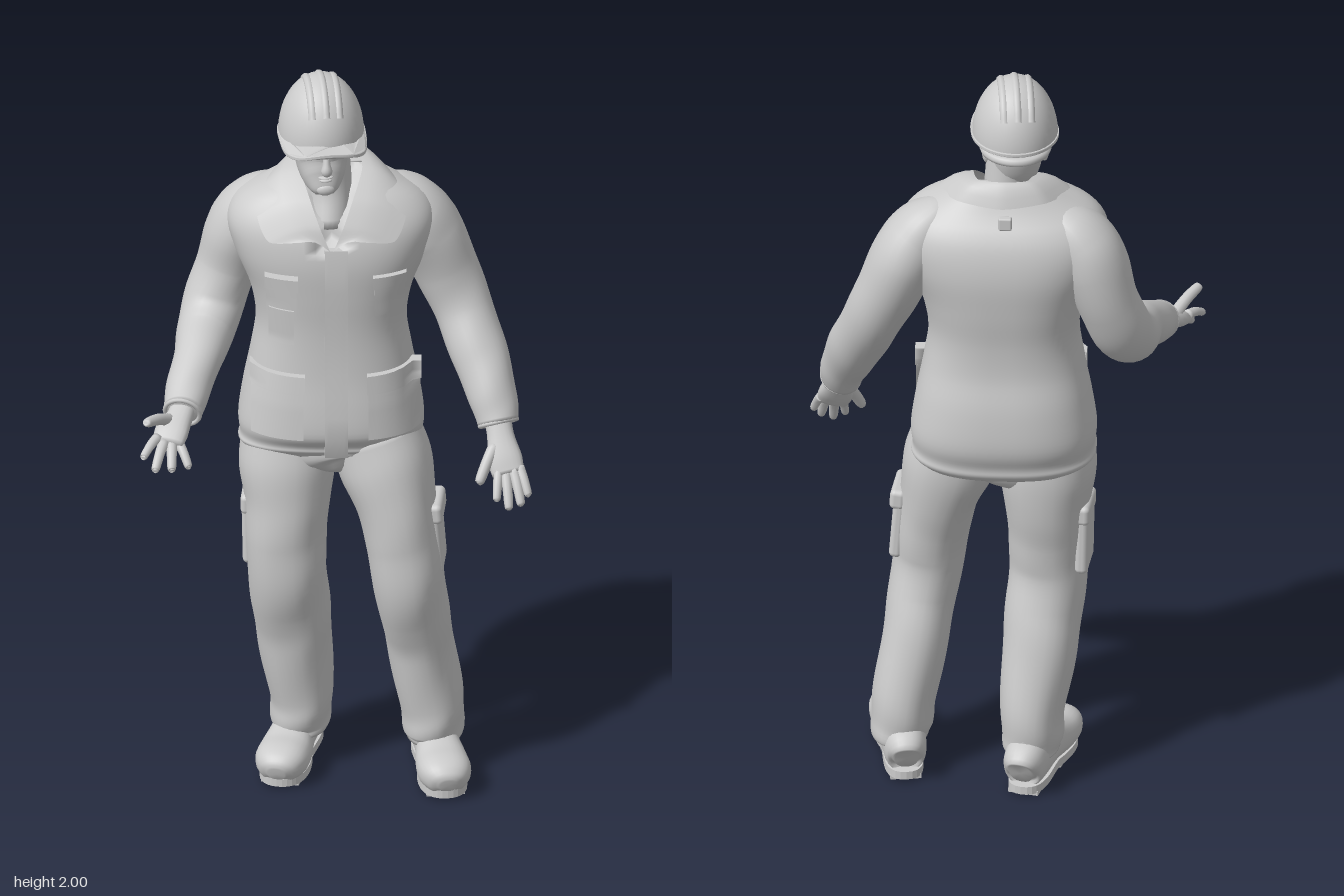
import * as THREE from 'three';
import { RoundedBoxGeometry } from 'three/addons/geometries/RoundedBoxGeometry.js';

const grey = new THREE.MeshStandardMaterial({ color: 0xcccccc });
const thin = new THREE.MeshStandardMaterial({ color: 0xcccccc, side: THREE.DoubleSide });
const V = (x, y, z) => new THREE.Vector3(x, y, z);

function add(parent, name, geometry, material = grey) {
  const mesh = new THREE.Mesh(geometry, material);
  mesh.name = name;
  parent.add(mesh);
  return mesh;
}

function group(parent, name, x = 0, y = 0, z = 0, yaw = 0) {
  const g = new THREE.Group();
  g.name = name;
  g.position.set(x, y, z);
  g.rotation.y = yaw;
  parent.add(g);
  return g;
}

// Closed smooth body through cross-sections [x, y, z, halfWidth, halfDepth]
function sweep(rows, { sides = 28, steps = 5, power = 2, fold = 0, warp = null } = {}) {
  const path = new THREE.CatmullRomCurve3(rows.map(r => V(r[0], r[1], r[2])), false, 'catmullrom');
  const size = new THREE.CatmullRomCurve3(rows.map(r => V(r[3], r[4] ?? r[3], 0)), false, 'catmullrom');
  const n = (rows.length - 1) * steps, pos = [], idx = [];
  const bend = c => Math.sign(c) * Math.abs(c) ** (2 / power);
  for (let k = -1; k <= n + 1; k++) {
    const t = Math.min(Math.max(k / n, 0), 1);
    const c = path.getPoint(t), T = path.getTangent(t), s = size.getPoint(t);
    const U = V(1, 0, 0).addScaledVector(T, -T.x).normalize();
    const W = U.clone().cross(T);
    const cap = k < 0 || k > n ? 0 : 1;
    for (let j = 0; j < sides; j++) {
      const a = j / sides * Math.PI * 2;
      const f = cap * (1 + fold * t * Math.sin(t * 30 + 3 * t * t + 2.5 * Math.sin(a + 1)));
      const p = c.clone().addScaledVector(U, f * s.x * bend(Math.cos(a))).addScaledVector(W, f * s.y * bend(Math.sin(a)));
      if (warp) warp(p);
      pos.push(p.x, p.y, p.z);
    }
  }
  for (let i = 0; i < n + 2; i++) for (let j = 0; j < sides; j++) {
    const a = i * sides + j, b = i * sides + (j + 1) % sides;
    idx.push(a, a + sides, b, a + sides, b + sides, b);
  }
  const g = new THREE.BufferGeometry();
  g.setAttribute('position', new THREE.Float32BufferAttribute(pos, 3));
  g.setIndex(idx);
  g.computeVertexNormals();
  return g;
}

// Jacket cross-sections, also used to lay pockets on its surface
const coatPower = 2.5;
const coat = [
  [0, 0.922, 0, 0.222, 0.138], [0, 0.942, 0, 0.24, 0.154], [0, 0.962, 0, 0.236, 0.157],
  [0, 1.01, 0, 0.24, 0.176], [0, 1.1, 0, 0.227, 0.172], [0, 1.2, 0.004, 0.208, 0.158],
  [0, 1.3, 0.003, 0.195, 0.157], [0, 1.4, 0, 0.212, 0.167], [0, 1.5, -0.002, 0.252, 0.173],
  [0, 1.58, -0.004, 0.27, 0.16], [0, 1.64, -0.006, 0.24, 0.13], [0, 1.69, -0.01, 0.155, 0.09],
  [0, 1.72, -0.01, 0.085, 0.065]];

function coatFront(x, y) {
  const i = Math.max(1, coat.findIndex(r => r[1] >= y));
  const p = coat[i - 1], q = coat[i], t = (y - p[1]) / (q[1] - p[1]);
  const [z, a, b] = [2, 3, 4].map(k => p[k] + (q[k] - p[k]) * t);
  const u = Math.min(Math.abs(x / a), 0.97);
  return z + b * (1 - u ** coatPower) ** (1 / coatPower);
}

// Lower the hem at the back and open a V at the neck
function shapeCoat(p) {
  if (p.y < 1.02) p.y += p.z * 0.13 * Math.min(1, (1.02 - p.y) * 12);
  const open = 1 - Math.abs(p.x) / Math.max(0.001, (p.y - 1.54) * 0.7);
  if (p.z > 0 && p.y > 1.54 && open > 0) p.z -= 0.07 * Math.min(1, open * 2);
}

// Box draped over the jacket front
function drape(x, y, w, h, depth) {
  const g = new THREE.BoxGeometry(w, h, 1, 6, 10, 1), p = g.attributes.position;
  for (let i = 0; i < p.count; i++) {
    const px = p.getX(i) + x, py = p.getY(i) + y;
    p.setXYZ(i, px, py, coatFront(px, py) + (p.getZ(i) > 0 ? depth : -0.015));
  }
  g.computeVertexNormals();
  return g;
}

function buildJacket(root) {
  const g = group(root, 'jacket', -0.037, 0, -0.16, 0.09);
  add(g, 'jacketBody', sweep(coat, { sides: 64, power: coatPower, warp: shapeCoat }));
  add(g, 'placket', drape(0.012, 1.25, 0.06, 0.6, 0.005));
  for (const [side, x, bulge] of [['right', -0.13, 0.01], ['left', 0.15, 0]]) {
    add(g, side + 'ChestPocket', drape(x, 1.415, 0.078, 0.11, 0.014 + bulge));
    add(g, side + 'ChestFlap', drape(x, 1.46, 0.086, 0.035, 0.02 + bulge));
    add(g, side + 'WaistPocket', drape(x * 1.08, 1.075, 0.135, 0.13, 0.01));
    add(g, side + 'WaistFlap', drape(x * 1.08, 1.165, 0.142, 0.05, 0.02));
  }
  add(g, 'pocketDevice', drape(-0.13, 1.335, 0.065, 0.1, 0.03));
  add(g, 'collarTab', new RoundedBoxGeometry(0.035, 0.035, 0.02, 2, 0.005)).position.set(-0.01, 1.655, -0.128);

  // Folded collar: inner neck edge and outer edge, front to back
  const half = [
    [[0.004, 1.55, 0.17], [0.08, 1.578, 0.172]], [[0.03, 1.61, 0.155], [0.162, 1.57, 0.152]],
    [[0.055, 1.67, 0.112], [0.192, 1.622, 0.105]], [[0.08, 1.725, 0.03], [0.178, 1.675, 0.025]],
    [[0.062, 1.745, -0.06], [0.115, 1.695, -0.085]], [[0, 1.75, -0.08], [0, 1.69, -0.118]]];
  const mirrored = half.slice(0, -1).reverse().map(r => r.map(([x, y, z]) => [-x, y, z]));
  const edge = k => new THREE.CatmullRomCurve3([...half, ...mirrored].map(r => V(...r[k])), false, 'catmullrom', 0.35);
  const inner = edge(0), outer = edge(1), pos = [], idx = [], n = 60, m = 4;
  for (let i = 0; i <= n; i++) for (let j = 0; j <= m; j++) {
    const p = inner.getPoint(i / n).lerp(outer.getPoint(i / n), j / m);
    p.y += 0.014 * Math.sin(j / m * Math.PI);
    pos.push(p.x, p.y, p.z);
    const a = i * (m + 1) + j;
    if (i < n && j < m) idx.push(a, a + 1, a + m + 1, a + 1, a + m + 2, a + m + 1);
  }
  const c = new THREE.BufferGeometry();
  c.setAttribute('position', new THREE.Float32BufferAttribute(pos, 3));
  c.setIndex(idx);
  c.computeVertexNormals();
  add(g, 'collar', c, thin);
}

function buildHead(root) {
  add(root, 'neck', sweep([[-0.037, 1.58, -0.13, 0.06, 0.09], [-0.04, 1.68, -0.14, 0.058, 0.066], [-0.05, 1.8, -0.135, 0.06, 0.066]]));
  const g = group(root, 'head', -0.06, 0, -0.12, 0.22);
  add(g, 'face', sweep([
    [0, 1.688, 0.07, 0.024, 0.02], [0, 1.7, 0.062, 0.038, 0.036], [0, 1.725, 0.04, 0.055, 0.06],
    [0, 1.76, 0.012, 0.067, 0.087], [0, 1.8, 0, 0.073, 0.098], [0, 1.85, -0.004, 0.078, 0.102],
    [0, 1.9, -0.005, 0.075, 0.1]], { power: 2.3, sides: 32 }));
  add(g, 'nose', sweep([[0, 1.82, 0.093, 0.009, 0.01], [0, 1.79, 0.102, 0.01, 0.014], [0, 1.77, 0.106, 0.015, 0.016], [0, 1.762, 0.1, 0.011, 0.01]], { sides: 12 }));
  for (const [name, y, w, h, z] of [['upperLip', 1.743, 0.02, 0.004, 0.086], ['lowerLip', 1.734, 0.018, 0.005, 0.084], ['chin', 1.706, 0.024, 0.016, 0.084]]) {
    const m = add(g, name, new THREE.SphereGeometry(1, 14, 8));
    m.position.set(0, y, z);
    m.scale.set(w, h, 0.012);
  }
  for (const s of [-1, 1]) {
    const ear = add(g, s > 0 ? 'leftEar' : 'rightEar', new THREE.SphereGeometry(1, 14, 10));
    ear.position.set(s * 0.075, 1.79, -0.015);
    ear.scale.set(0.012, 0.032, 0.02);
    const lens = add(g, s > 0 ? 'leftLens' : 'rightLens', new THREE.CylinderGeometry(0.077, 0.073, 0.03, 12, 1, true, s > 0 ? 0.12 : -1.0, 0.88), thin);
    lens.position.y = 1.81;
    lens.scale.z = 1.42;
  }
  const frame = add(g, 'glassesFrame', new THREE.TorusGeometry(0.078, 0.004, 6, 32, Math.PI).rotateX(Math.PI / 2));
  frame.position.y = 1.826;
  frame.scale.z = 1.38;
  const strap = add(g, 'helmetHarness', new THREE.TorusGeometry(0.082, 0.012, 8, 28, Math.PI).rotateX(-Math.PI / 2));
  strap.position.set(0, 1.805, -0.015);
  strap.scale.z = 1.15;

  // Hard hat with ridges, rim and peak
  const hat = group(g, 'hardHat', 0, 1.834, 0);
  hat.rotation.x = -0.03;
  add(hat, 'hatShell', new THREE.SphereGeometry(1, 36, 16, 0, Math.PI * 2, 0, Math.PI / 2), thin).scale.set(0.111, 0.161, 0.125);
  for (const x of [-0.034, 0, 0.034]) {
    const k = Math.sqrt(1 - (x / 0.111) ** 2), pts = [];
    for (let a = 0.55; a < 2.65; a += 0.2) pts.push(V(x, 0.153 * k * Math.sin(a), 0.117 * k * Math.cos(a)));
    add(hat, 'hatRidge', new THREE.TubeGeometry(new THREE.CatmullRomCurve3(pts), 24, 0.012, 10));
  }
  const outline = new THREE.Shape();
  outline.absellipse(0, 0, 0.112, 0.127, 0, Math.PI, false);
  outline.bezierCurveTo(-0.112, -0.15, -0.075, -0.172, 0, -0.172);
  outline.bezierCurveTo(0.075, -0.172, 0.112, -0.15, 0.112, 0);
  const hole = new THREE.Path();
  hole.absellipse(0, 0, 0.1, 0.114, 0, Math.PI * 2, true);
  outline.holes.push(hole);
  const peak = new THREE.ExtrudeGeometry(outline, { depth: 0.006, bevelSize: 0.002, bevelThickness: 0.002, bevelSegments: 2, curveSegments: 24 });
  peak.rotateX(-Math.PI / 2);
  const p = peak.attributes.position;
  for (let i = 0; i < p.count; i++) {
    const front = Math.min(1, Math.max(0, p.getZ(i) / 0.08));
    p.setY(i, p.getY(i) + front * (0.014 - 2.2 * p.getX(i) ** 2 - 0.06 * p.getZ(i)));
  }
  peak.computeVertexNormals();
  add(hat, 'hatPeak', peak);
}

// Sleeve, cuff, palm and digits
function buildArm(root, side, sleeve, palm, digits) {
  const g = group(root, side + 'Arm');
  add(g, 'sleeve', sweep(sleeve, { fold: 0.02, steps: 8 }));
  const end = sleeve.at(-1), prev = sleeve.at(-2);
  const dir = V(end[0] - prev[0], end[1] - prev[1], end[2] - prev[2]).normalize();
  const cuff = add(g, 'cuff', new THREE.TorusGeometry(end[3] - 0.005, 0.006, 8, 28));
  cuff.position.set(end[0], end[1], end[2]);
  cuff.quaternion.setFromUnitVectors(V(0, 0, 1), dir);
  add(g, 'palm', sweep(palm, { sides: 20, power: 2.4 }));
  for (const [base, tip, r] of digits) {
    const mid = base.map((v, i) => (v + tip[i]) / 2 + (i === 1 ? 0.005 : 0));
    const near = base.map((v, i) => v + (tip[i] - v) * 0.93);
    add(g, r > 0.0135 ? 'thumb' : 'finger', sweep([[...base, r * 1.15], [...mid, r], [...near, r * 0.85], [...tip, r * 0.4]], { sides: 10, steps: 4 }));
  }
}

function buildLeg(root, side, rows, pocket, foot) {
  const g = group(root, side + 'Leg');
  add(g, 'trouserLeg', sweep(rows, { fold: 0.028, power: 2.2, steps: 6 }));
  const [px, py, pz, tilt] = pocket;
  for (const [name, y, h, w, d] of [['cargoPocket', 0, 0.19, 0.13, 0.034], ['cargoFlap', 0.075, 0.055, 0.136, 0.042]]) {
    const m = add(g, name, new RoundedBoxGeometry(d, h, w, 3, 0.014));
    m.position.set(px, py + y, pz);
    m.rotation.z = tilt;
  }
  // Boot with a treaded sole
  const b = group(g, 'boot', ...foot);
  add(b, 'bootUpper', sweep([
    [0, 0.07, -0.137, 0.03, 0.035], [0, 0.08, -0.117, 0.052, 0.062], [0, 0.085, -0.05, 0.058, 0.07],
    [0, 0.075, 0.04, 0.057, 0.062], [0, 0.062, 0.12, 0.068, 0.053], [0, 0.06, 0.18, 0.068, 0.05],
    [0, 0.052, 0.217, 0.05, 0.038], [0, 0.047, 0.232, 0.022, 0.018]], { power: 2.3, warp: p => { p.y = Math.max(p.y, 0.018); } }));
  add(b, 'bootShaft', new THREE.CylinderGeometry(0.055, 0.056, 0.12, 20)).position.set(0, 0.13, -0.06);
  const sole = new THREE.Shape();
  sole.moveTo(0, -0.135);
  sole.bezierCurveTo(0.07, -0.135, 0.046, -0.02, 0.05, 0.04);
  sole.bezierCurveTo(0.078, 0.15, 0.06, 0.225, 0, 0.225);
  sole.bezierCurveTo(-0.06, 0.225, -0.078, 0.15, -0.05, 0.04);
  sole.bezierCurveTo(-0.046, -0.02, -0.07, -0.135, 0, -0.135);
  const s = add(b, 'sole', new THREE.ExtrudeGeometry(sole, { depth: 0.022, bevelEnabled: false, curveSegments: 12 }).rotateX(Math.PI / 2));
  s.position.y = 0.03;
  for (const z of [-0.105, -0.075, -0.045, 0.06, 0.09, 0.12, 0.15, 0.18])
    add(b, 'tread', new THREE.BoxGeometry(z < 0 ? 0.08 : 0.1, 0.012, 0.022)).position.set(0, 0.006, z);
}

export function createModel() {
  const root = new THREE.Group();
  root.name = 'worker';
  buildJacket(root);
  buildHead(root);

  buildArm(root, 'left', [
    [0.07, 1.62, -0.175, 0.04, 0.06], [0.135, 1.6, -0.19, 0.07, 0.095], [0.18, 1.56, -0.205, 0.086, 0.105], [0.213, 1.5, -0.218, 0.09, 0.108],
    [0.258, 1.4, -0.218, 0.084, 0.09], [0.303, 1.3, -0.195, 0.077], [0.348, 1.2, -0.14, 0.074], [0.386, 1.11, -0.085, 0.064], [0.405, 1.045, -0.05, 0.054]],
  [[0.4, 1.07, -0.06, 0.036, 0.03], [0.412, 1.02, -0.03, 0.035, 0.026], [0.425, 0.97, 0.0, 0.045, 0.023], [0.437, 0.935, 0.022, 0.042, 0.016]], [
    [[0.464, 0.95, 0.012], [0.492, 0.89, 0.055], 0.012], [[0.45, 0.945, 0.018], [0.474, 0.868, 0.068], 0.013],
    [[0.43, 0.94, 0.02], [0.443, 0.858, 0.074], 0.013], [[0.412, 0.945, 0.018], [0.41, 0.878, 0.066], 0.012],
    [[0.4, 1.0, -0.01], [0.362, 0.915, 0.045], 0.015]]);

  buildArm(root, 'right', [
    [-0.14, 1.62, -0.165, 0.04, 0.06], [-0.205, 1.6, -0.175, 0.07, 0.09], [-0.25, 1.56, -0.185, 0.086, 0.1], [-0.28, 1.5, -0.192, 0.088, 0.1],
    [-0.312, 1.4, -0.19, 0.08, 0.086], [-0.342, 1.31, -0.16, 0.08], [-0.357, 1.255, -0.095, 0.075], [-0.368, 1.23, 0.0, 0.064],
    [-0.386, 1.185, 0.1, 0.058], [-0.395, 1.155, 0.175, 0.051]],
  [[-0.393, 1.165, 0.15, 0.034, 0.03], [-0.4, 1.15, 0.19, 0.034, 0.028], [-0.417, 1.13, 0.235, 0.044, 0.025], [-0.425, 1.11, 0.272, 0.04, 0.017]], [
    [[-0.452, 1.125, 0.265], [-0.484, 1.1, 0.335], 0.012], [[-0.435, 1.115, 0.27], [-0.452, 1.068, 0.345], 0.013],
    [[-0.415, 1.11, 0.268], [-0.41, 1.062, 0.328], 0.013], [[-0.398, 1.11, 0.26], [-0.367, 1.063, 0.308], 0.012],
    [[-0.425, 1.15, 0.21], [-0.478, 1.19, 0.312], 0.015]]);

  add(root, 'trouserSeat', sweep([[-0.018, 0.868, -0.13, 0.02, 0.05], [-0.02, 0.885, -0.132, 0.075, 0.1], [-0.03, 0.92, -0.14, 0.19, 0.128], [-0.037, 1.0, -0.15, 0.2, 0.13]], { power: 2.3 }));
  buildLeg(root, 'left', [
    [0.075, 0.97, -0.14, 0.118, 0.125], [0.107, 0.88, -0.128, 0.122, 0.136], [0.135, 0.78, -0.112, 0.104, 0.134],
    [0.155, 0.68, -0.1, 0.097, 0.126], [0.167, 0.58, -0.092, 0.094, 0.12], [0.182, 0.47, -0.115, 0.088, 0.112],
    [0.195, 0.36, -0.148, 0.086, 0.11], [0.22, 0.2, -0.167, 0.083, 0.117], [0.228, 0.12, -0.17, 0.079, 0.115], [0.228, 0.09, -0.17, 0.072, 0.108]],
  [0.238, 0.69, -0.12, 0.08], [0.23, 0, -0.16, 0.24]);
  buildLeg(root, 'right', [
    [-0.15, 0.97, -0.145, 0.115, 0.125], [-0.149, 0.88, -0.137, 0.125, 0.136], [-0.148, 0.78, -0.128, 0.112, 0.134],
    [-0.15, 0.68, -0.118, 0.105, 0.126], [-0.148, 0.58, -0.115, 0.102, 0.118], [-0.14, 0.47, -0.14, 0.1, 0.112],
    [-0.132, 0.36, -0.168, 0.097, 0.112], [-0.118, 0.2, -0.192, 0.083, 0.117], [-0.118, 0.12, -0.196, 0.078, 0.113], [-0.118, 0.09, -0.196, 0.072, 0.106]],
  [-0.245, 0.69, -0.14, 0.02], [-0.127, 0, -0.195, -0.16]);
  return root;
}
